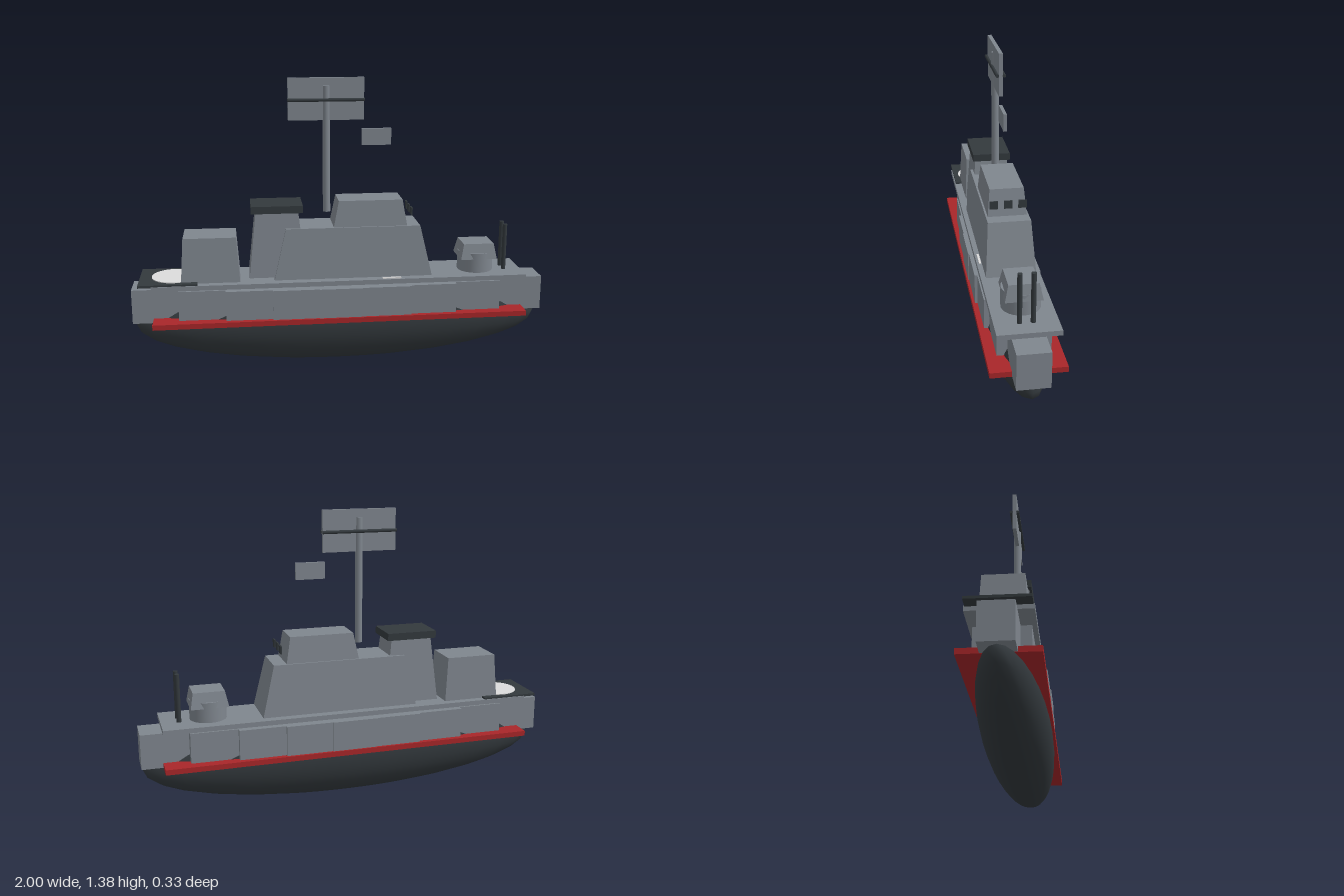
import * as THREE from 'three';

const mat = (name, color) => {
  const m = new THREE.MeshStandardMaterial({ color });
  m.name = name;
  return m;
};

export function createModel() {
  const grey = mat('navy grey', 0x7f868e);
  const dark = mat('charcoal', 0x33393d);
  const red = mat('waterline red', 0xa82629);
  const white = mat('marking white', 0xdcdcdc);

  const ship = new THREE.Group();
  ship.name = 'warship';

  const add = (name, geometry, material, x, y, z) => {
    const mesh = new THREE.Mesh(geometry, material);
    mesh.name = name;
    mesh.position.set(x, y, z);
    ship.add(mesh);
    return mesh;
  };

  // box given by its x, y and z ranges
  const box = (name, material, [x0, x1], [y0, y1], [z0, z1]) =>
    add(name, new THREE.BoxGeometry(x1 - x0, y1 - y0, z1 - z0), material,
      (x0 + x1) / 2, (y0 + y1) / 2, (z0 + z1) / 2);

  // block whose top has its own x range and half depth
  const taper = (name, material, [y0, y1], [bx0, bx1], bz, [tx0, tx1], tz) => {
    let g = new THREE.BoxGeometry(2, y1 - y0, 2);
    const p = g.attributes.position;
    for (let i = 0; i < p.count; i++) {
      const top = p.getY(i) > 0;
      const right = p.getX(i) > 0;
      p.setX(i, top ? (right ? tx1 : tx0) : (right ? bx1 : bx0));
      p.setZ(i, p.getZ(i) * (top ? tz : bz));
    }
    g = g.toNonIndexed();
    g.computeVertexNormals();
    return add(name, g, material, 0, (y0 + y1) / 2, 0);
  };

  // rounded lower hull, poking out a little between the stepped sides
  const keel = new THREE.SphereGeometry(1, 32, 16);
  keel.scale(0.99, 0.204, 0.158);
  add('lowerHull', keel, dark, 0, 0.208, 0);

  // upper hull in nine sections that follow an elliptical plan
  const n = 9, w = 2 / n;
  for (let i = 0; i < n; i++) {
    const x = -1 + w * (i + 0.5);
    const half = 0.158 * Math.sqrt(1 - x * x);
    box('hullSection', grey, [x - w / 2, x + w / 2], [0.238, 0.405], [-half, half]);
  }
  box('waterline', red, [-0.9, 0.9], [0.236, 0.261], [-0.166, 0.166]);
  box('deck', grey, [-0.9, 0.9], [0.415, 0.438], [-0.137, 0.137]);
  box('deckMark', white, [0.195, 0.285], [0.437, 0.444], [0.117, 0.127]);

  // stern landing pad
  box('landingPad', dark, [-0.963, -0.685], [0.434, 0.446], [-0.132, 0.132]);
  add('landingCircle', new THREE.CylinderGeometry(0.107, 0.107, 0.006, 32), white, -0.8, 0.447, 0);

  // deckhouses
  taper('hangar', grey, [0.438, 0.655], [-0.763, -0.485], 0.1, [-0.748, -0.5], 0.09);
  taper('funnel', grey, [0.455, 0.77], [-0.44, -0.17], 0.1, [-0.405, -0.205], 0.08);
  box('funnelCap', dark, [-0.428, -0.183], [0.765, 0.8], [-0.092, 0.092]);
  taper('superstructure', grey, [0.445, 0.69], [-0.322, 0.436], 0.115, [-0.265, 0.378], 0.098);
  taper('bridge', grey, [0.685, 0.815], [-0.038, 0.316], 0.09, [-0.012, 0.294], 0.078);
  for (const z of [-0.065, 0, 0.065]) {
    box('bridgeWindow', dark, [0.335, 0.342], [0.738, 0.775], [z - 0.019, z + 0.019]);
  }

  // mast with radar panels
  add('mast', new THREE.CylinderGeometry(0.018, 0.018, 0.6, 12), grey, -0.063, 1.05, 0);
  box('radarPanel', grey, [-0.243, 0.115], [1.19, 1.388], [-0.009, 0.009]);
  box('smallPanel', grey, [0.106, 0.246], [1.068, 1.147], [-0.008, 0.008]);
  for (const z of [-0.016, 0.016]) {
    const rod = add('radarRod', new THREE.CylinderGeometry(0.008, 0.008, 0.362, 10), dark, -0.064, 1.285, z);
    rod.rotation.z = Math.PI / 2;
  }

  // bow gun and its upright barrels
  add('turretBase', new THREE.CylinderGeometry(0.087, 0.087, 0.096, 24), grey, 0.677, 0.486, 0);
  taper('turretHouse', grey, [0.505, 0.58], [0.588, 0.766], 0.082, [0.604, 0.752], 0.066);
  for (const z of [-0.029, 0.029]) {
    add('gunBarrel', new THREE.CylinderGeometry(0.011, 0.011, 0.23, 12), dark, 0.816, 0.552, z);
  }

  return ship;
}
